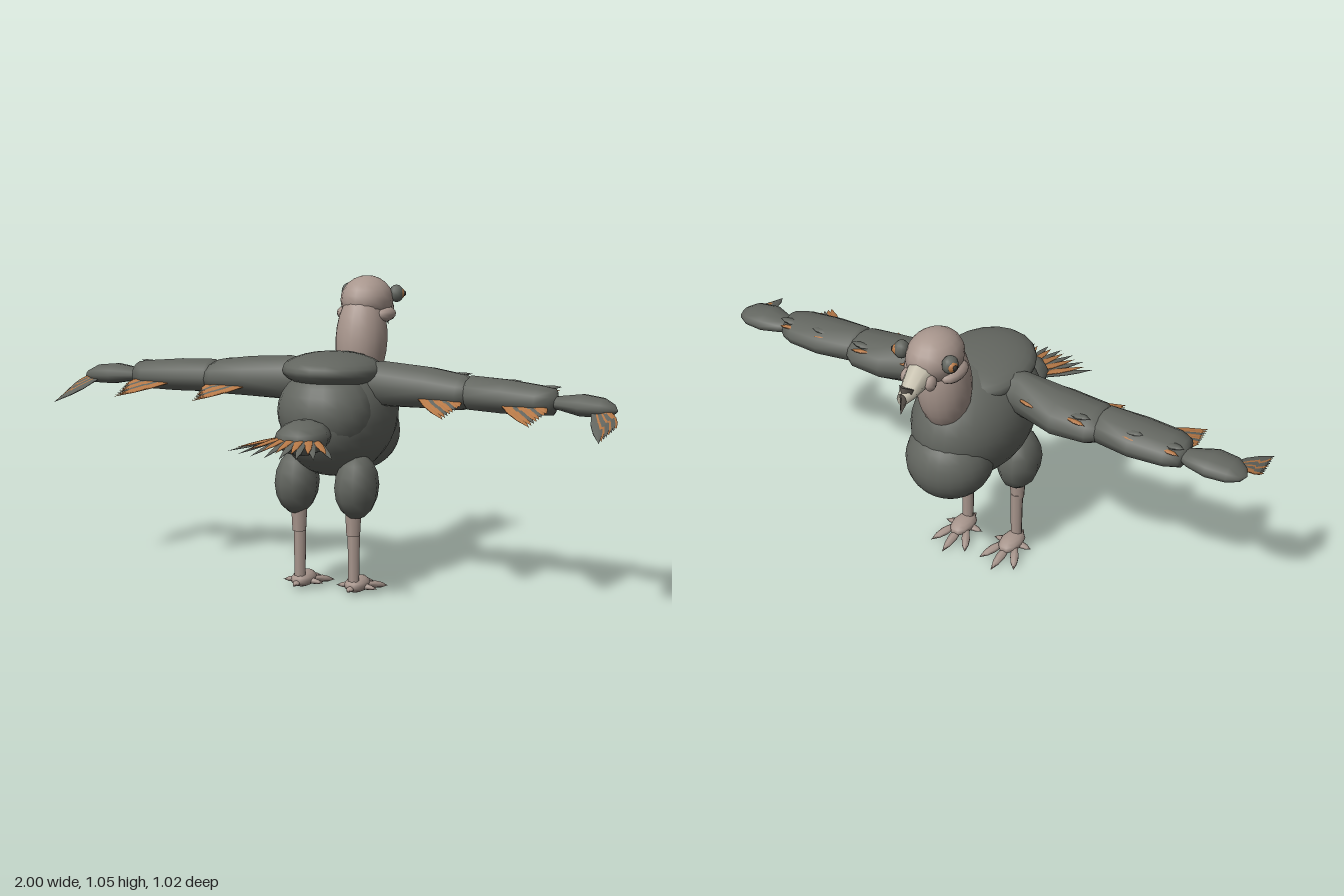
import * as THREE from 'three';

const mat = (name, color) => {
  const m = new THREE.MeshStandardMaterial({ color, side: THREE.DoubleSide });
  m.name = name;
  return m;
};

export function createModel() {
  const bird = new THREE.Group();
  bird.name = 'bird';
  const plumage = mat('dark plumage', 0x636660);
  const skin = mat('bare skin', 0xa8968d);
  const rust = mat('rust feathers', 0xb87a48);
  const horn = mat('pale horn', 0xc8c2b0);
  const hook = mat('dark horn', 0x5c564f);
  const pupilMat = mat('pupil', 0x2c2a28);

  const add = (name, geometry, material, parent = bird) => {
    const m = new THREE.Mesh(geometry, material);
    m.name = name;
    parent.add(m);
    return m;
  };
  const V = (p) => new THREE.Vector3(...p);

  // Ellipsoid, tilted about x
  const blob = (name, pos, r, material, parent, tilt = 0, seg = 20, rows = 14) => {
    const m = add(name, new THREE.SphereGeometry(1, seg, rows), material, parent);
    m.position.set(...pos);
    m.scale.set(...r);
    m.rotation.x = tilt;
    return m;
  };

  // Skin over elliptical sections [x, y, z, ry, rz] running along x
  const loft = (sections, side = 1, n = 12) => {
    const pos = [], idx = [];
    for (const [x, y, z, ry, rz] of sections)
      for (let j = 0; j < n; j++) {
        const a = (j / n) * Math.PI * 2;
        pos.push(x * side, y + ry * Math.cos(a), z + rz * Math.sin(a));
      }
    for (let i = 0; i < sections.length - 1; i++)
      for (let j = 0; j < n; j++) {
        const a = i * n + j, b = i * n + (j + 1) % n, c = a + n, d = b + n;
        if (side > 0) idx.push(a, b, c, b, d, c);
        else idx.push(a, c, b, b, c, d);
      }
    const g = new THREE.BufferGeometry();
    g.setAttribute('position', new THREE.Float32BufferAttribute(pos, 3));
    g.setIndex(idx);
    g.computeVertexNormals();
    return g;
  };

  // Pointed, flattened blade from a to b, used for feathers and claws
  const blade = (name, a, b, width, flat, material, parent) => {
    const from = V(a), dir = V(b).sub(from), len = dir.length();
    dir.normalize();
    const across = new THREE.Vector3().crossVectors(dir, new THREE.Vector3(0, 1, 0)).normalize();
    const up = new THREE.Vector3().crossVectors(across, dir);
    const profile = [[0, 0], [0.7, 0.12], [1, 0.45], [0.75, 0.72], [0, 1]]
      .map(([r, t]) => new THREE.Vector2(r * width, t * len));
    const g = new THREE.LatheGeometry(profile, 6);
    g.scale(1, 1, flat);
    g.applyMatrix4(new THREE.Matrix4().makeBasis(across, dir, up).setPosition(from));
    return add(name, g, material, parent);
  };

  // Trunk
  blob('body', [0, 0.605, -0.06], [0.19, 0.21, 0.275], plumage, bird, 0.1, 28, 18);
  blob('rump', [0, 0.63, 0.07], [0.165, 0.15, 0.145], plumage);
  blob('breast', [0, 0.522, -0.222], [0.15, 0.143, 0.148], plumage, bird, 0, 24, 16);
  blob('backHump', [0, 0.765, 0.0], [0.168, 0.062, 0.205], plumage, bird, -0.06);

  // Neck and head
  blob('neck', [0, 0.835, -0.255], [0.09, 0.18, 0.1], skin, bird, -0.12);
  blob('head', [0, 0.97, -0.305], [0.09, 0.085, 0.11], skin, bird, 0, 16, 12);

  // Beak: lofted along x, then turned towards -z
  const beak = loft([
    [0.37, 0.945, 0, 0.055, 0.055], [0.42, 0.94, 0, 0.045, 0.042],
    [0.47, 0.917, 0, 0.027, 0.03], [0.505, 0.91, 0, 0.022, 0.018],
  ], 1, 8);
  beak.rotateY(Math.PI / 2);
  add('beak', beak, horn);
  const tip = new THREE.ConeGeometry(0.034, 0.09, 4);
  tip.rotateX(Math.PI);
  tip.scale(0.8, 1, 0.85);
  const tipMesh = add('beakHook', tip, hook);
  tipMesh.position.set(0, 0.898, -0.494);
  tipMesh.rotation.x = 0.45;

  for (const s of [1, -1]) {
    const label = s > 0 ? 'right' : 'left';

    // Face
    blob(label + 'Cheek', [s * 0.068, 0.923, -0.3], [0.036, 0.028, 0.066], skin, bird, 0, 12, 8);
    blob(label + 'NostrilFold', [s * 0.045, 0.93, -0.405], [0.018, 0.027, 0.025], skin, bird, 0, 8, 6);
    const eye = new THREE.Group();
    eye.name = label + 'Eye';
    eye.position.set(s * 0.09, 0.99, -0.36);
    eye.rotation.y = s * 0.25;
    bird.add(eye);
    blob('eyeSocket', [0, 0, 0], [0.026, 0.031, 0.029], plumage, eye, 0, 10, 8);
    blob('iris', [s * 0.014, 0, -0.004], [0.016, 0.019, 0.019], rust, eye, 0, 10, 8);
    blob('pupil', [s * 0.025, 0, -0.005], [0.009, 0.011, 0.011], pupilMat, eye, 0, 8, 6);

    // Leg
    const leg = new THREE.Group();
    leg.name = label + 'Leg';
    bird.add(leg);
    blob('thigh', [s * 0.11, 0.38, 0.055], [0.073, 0.113, 0.098], plumage, leg, 0, 10, 8);
    const knee = add('knee', new THREE.CylinderGeometry(0.03, 0.025, 0.09, 8), skin, leg);
    knee.position.set(s * 0.1, 0.255, 0.062);
    const shank = add('shank', new THREE.CylinderGeometry(0.023, 0.02, 0.19, 8), skin, leg);
    shank.position.set(s * 0.1, 0.13, 0.057);
    blob('foot', [s * 0.1, 0.032, 0.025], [0.04, 0.028, 0.068], skin, leg, 0, 10, 8);
    for (const t of [-1, 0, 1]) {
      const x = s * 0.1 + t * 0.022;
      blade('toe', [x, 0.03, 0.01], [x + t * 0.048, 0.005, t ? -0.085 : -0.125], 0.017, 0.75, skin, leg);
    }
    for (const t of [-1, 1])
      blade('sideToe', [s * 0.1, 0.03, 0.03], [s * 0.1 + t * 0.075, 0.02, 0.03], 0.015, 0.75, skin, leg);
    blade('hindToe', [s * 0.1, 0.035, 0.05], [s * 0.1, 0.022, 0.115], 0.015, 0.7, skin, leg);

    // Wing, in three overlapping segments
    const wing = new THREE.Group();
    wing.name = label + 'Wing';
    bird.add(wing);
    add('upperWing', loft([
      [0.08, 0.725, -0.04, 0.06, 0.06], [0.17, 0.722, -0.035, 0.077, 0.068],
      [0.33, 0.715, -0.053, 0.07, 0.102], [0.45, 0.708, -0.045, 0.06, 0.095],
      [0.5, 0.705, -0.04, 0.04, 0.06], [0.51, 0.705, -0.04, 0, 0],
    ], s), plumage, wing);
    add('forewing', loft([
      [0.45, 0.71, -0.04, 0.03, 0.04], [0.48, 0.71, -0.04, 0.058, 0.08],
      [0.6, 0.705, -0.042, 0.057, 0.093], [0.72, 0.7, -0.037, 0.05, 0.085],
      [0.765, 0.698, -0.037, 0.045, 0.06], [0.78, 0.698, -0.037, 0, 0],
    ], s), plumage, wing);
    add('hand', loft([
      [0.74, 0.695, -0.04, 0.015, 0.02], [0.79, 0.695, -0.045, 0.024, 0.045],
      [0.86, 0.694, -0.038, 0.036, 0.068], [0.93, 0.69, -0.035, 0.032, 0.06],
      [0.965, 0.685, -0.035, 0.018, 0.035], [0.98, 0.682, -0.035, 0, 0],
    ], s), plumage, wing);

    // Feather fans: inner and outer root x, tip line x, tip reach z, root and tip height
    const fans = [
      [0.3, 0.42, 0.455, 0.17, 0.7, 0.652, 0],
      [0.59, 0.71, 0.75, 0.185, 0.695, 0.65, 0],
      [0.91, 0.945, 0.99, 0.2, 0.685, 0.618, 1],
    ];
    fans.forEach(([x0, x1, xt, reach, y0, y1, dark]) => {
      for (let i = 0; i < 8; i++) {
        const k = i / 7;
        const root = [s * (x0 + (x1 - x0) * k), y0 + 0.004 * k, -0.01];
        const end = [s * (xt + 0.02 * k - (dark ? 0.01 : 0)), y1 + 0.025 * k, reach - (reach - 0.06) * k];
        const isRust = dark ? i % 3 === 1 : i % 3 !== 2;
        blade('flightFeather', root, end, 0.022, 0.25, isRust ? rust : plumage, wing);
      }
    });

    // Small coverts breaking the wing surface
    for (const [x, y, z] of [[0.2, 0.75, -0.11], [0.56, 0.74, -0.1], [0.7, 0.73, -0.09], [0.38, 0.75, -0.12]]) {
      blade('covert', [s * x, y, z], [s * (x + 0.07), y - 0.005, z - 0.01], 0.012, 0.4, rust, wing);
      blade('darkCovert', [s * x, y + 0.005, z + 0.02], [s * (x + 0.08), y + 0.012, z + 0.01], 0.018, 0.4, plumage, wing);
    }
  }

  // Tail
  const tail = new THREE.Group();
  tail.name = 'tail';
  bird.add(tail);
  blob('tailBase', [0, 0.575, 0.255], [0.09, 0.058, 0.115], plumage, tail, 0, 10, 8);
  for (let i = 0; i < 15; i++) {
    const k = i / 7 - 1;
    blade('tailFeather', [k * 0.05, 0.595 - 0.02 * k * k, 0.27],
      [k * 0.185, 0.55 + (i % 2) * 0.012, 0.505 - 0.06 * k * k - (i % 2) * 0.03],
      0.015, 0.25, i % 2 ? rust : plumage, tail);
  }
  return bird;
}
